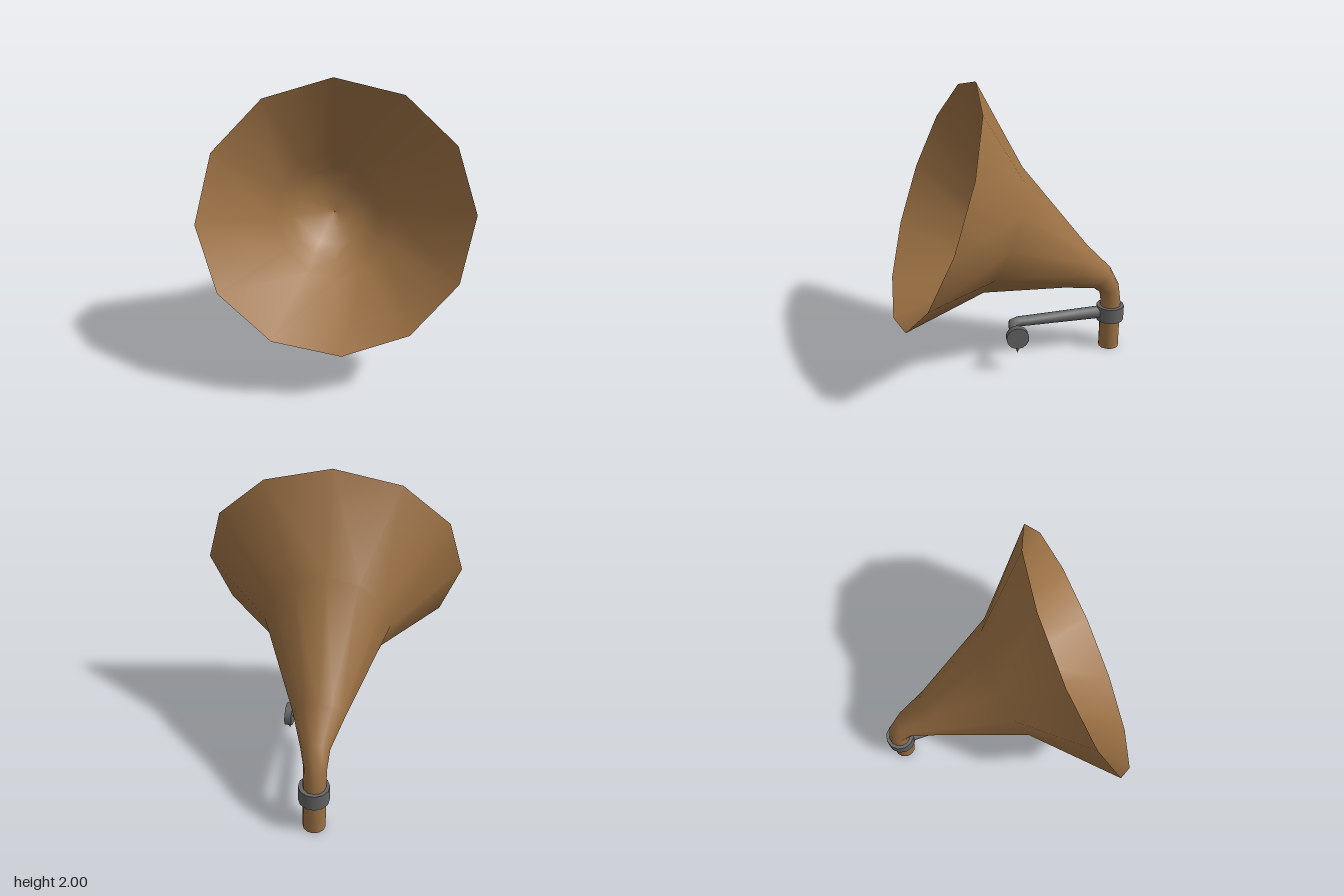
import * as THREE from 'three';

const UP = new THREE.Vector3(0, 1, 0);
const V = (x, y, z) => new THREE.Vector3(x, y, z);

// Skin over oval sections { c: centre, r: [sideways, upright] radii, n: axis, u: start direction }, with optional end caps
function loft(sections, sides, capStart, capEnd) {
  const pos = [], index = [];
  const addRing = ({ c, r, n, u }) => {
    const v = V().crossVectors(n, u);
    const first = pos.length / 3;
    for (let i = 0; i < sides; i++) {
      const a = (i / sides) * Math.PI * 2;
      const p = c.clone().addScaledVector(u, r[0] * Math.cos(a)).addScaledVector(v, r[1] * Math.sin(a));
      pos.push(p.x, p.y, p.z);
    }
    return first;
  };
  const starts = sections.map(addRing);
  for (let s = 0; s + 1 < starts.length; s++) {
    for (let i = 0; i < sides; i++) {
      const j = (i + 1) % sides;
      const a = starts[s] + i, b = starts[s] + j, d = starts[s + 1] + i, e = starts[s + 1] + j;
      index.push(a, b, d, b, e, d);
    }
  }
  const cap = (section, flip) => {
    const f = addRing(section);
    for (let i = 1; i + 1 < sides; i++) {
      if (flip) index.push(f, f + i + 1, f + i);
      else index.push(f, f + i, f + i + 1);
    }
  };
  if (capStart) cap(sections[0], true);
  if (capEnd) cap(sections[sections.length - 1], false);
  const g = new THREE.BufferGeometry();
  g.setAttribute('position', new THREE.Float32BufferAttribute(pos, 3));
  g.setIndex(index);
  g.computeVertexNormals();
  return g;
}

export function createModel() {
  const model = new THREE.Group();
  model.name = 'gramophoneHorn';

  const brass = new THREE.MeshStandardMaterial({ color: 0x9c7144, side: THREE.DoubleSide });
  brass.name = 'warm brown';
  const iron = new THREE.MeshStandardMaterial({ color: 0x636364 });
  iron.name = 'dark grey';

  const add = (name, geometry, material) => {
    const mesh = new THREE.Mesh(geometry, material);
    mesh.name = name;
    model.add(mesh);
    return mesh;
  };

  // Horn sections: each row is x, y, z, sideways radius, upright radius, axis elevation in degrees
  const heading = V(0.395, 0, 0.919).normalize();
  const side = V().crossVectors(UP, heading);
  const hornSection = ([x, y, z, ru, rv, deg]) => {
    const e = THREE.MathUtils.degToRad(deg);
    const n = heading.clone().multiplyScalar(Math.cos(e)).addScaledVector(UP, Math.sin(e));
    return { c: V(x, y, z), r: [ru, rv], n, u: side };
  };
  const rim = [0, 1.195, 0.42, 0.862, 0.858, 20.1];

  // Outer horn: upright neck, bend, then flare
  const hornRows = [
    [-0.5, 0, -0.75, 0.073, 0.073, 90],
    [-0.5, 0.36, -0.75, 0.073, 0.073, 88],
    [-0.496, 0.465, -0.735, 0.073, 0.074, 70],
    [-0.462, 0.56, -0.675, 0.092, 0.097, 42],
    [-0.383, 0.668, -0.482, 0.168, 0.176, 34],
    [-0.168, 0.993, 0.014, 0.412, 0.457, 21],
    rim,
  ];
  add('horn', loft(hornRows.map(hornSection), 12, true, false), brass);

  // Lining of the bell, closed at the throat by a deep bowl
  const liningRows = [
    [-0.26, 0.895, -0.21, 0.001, 0.001, 21],
    [-0.252, 0.902, -0.19, 0.11, 0.115, 21],
    [-0.236, 0.92, -0.148, 0.215, 0.225, 21],
    [-0.21, 0.945, -0.087, 0.3, 0.32, 21],
    [-0.166, 0.988, 0.02, 0.395, 0.42, 21],
    rim,
  ];
  add('bellLining', loft(liningRows.map(hornSection), 12, false, false), brass);

  // Collar clamped round the neck
  add('collar', new THREE.CylinderGeometry(0.099, 0.099, 0.11, 12), iron).position.set(-0.497, 0.275, -0.75);

  // Tapered tone arm with an elbow; each row is x, z, radius
  const armPath = [
    [-0.47, -0.68, 0.045],
    [-0.235, -0.19, 0.037],
    [-0.205, -0.125, 0.036],
    [-0.168, -0.092, 0.034],
    [-0.12, -0.1, 0.029],
    [0, -0.155, 0.016],
  ];
  const armSections = armPath.map(([x, z, r], i) => {
    const a = armPath[Math.max(i - 1, 0)], b = armPath[Math.min(i + 1, armPath.length - 1)];
    const n = V(b[0] - a[0], 0, b[1] - a[1]).normalize();
    return { c: V(x, 0.278, z), r: [r, r], n, u: V().crossVectors(UP, n) };
  });
  add('toneArm', loft(armSections, 12, true, true), iron);

  // Sound box disc at the arm's tip
  const disc = add('soundBox', new THREE.CylinderGeometry(0.078, 0.078, 0.047, 16), iron);
  disc.position.set(0.02, 0.277, -0.16);
  disc.quaternion.setFromUnitVectors(UP, V(0.95, 0, -0.31).normalize());

  // Needle pointing down
  const needle = add('needle', new THREE.ConeGeometry(0.022, 0.06, 8), iron);
  needle.position.set(0.02, 0.187, -0.16);
  needle.rotation.x = Math.PI;

  return model;
}
